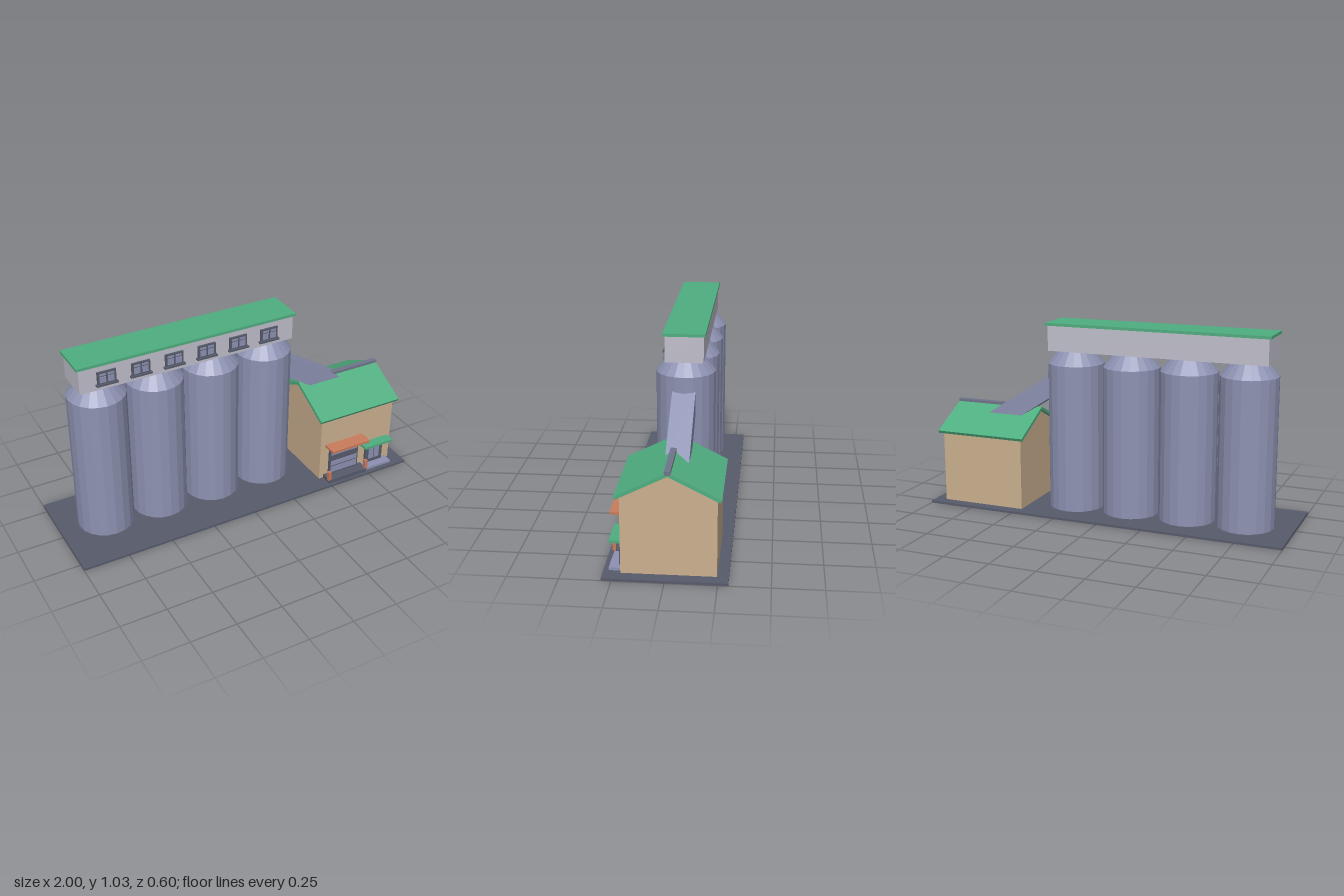
import * as THREE from 'three';

const mat = (name, color, extra = {}) => {
  const m = new THREE.MeshStandardMaterial({ color, ...extra });
  m.name = name;
  return m;
};

export function createModel() {
  const root = new THREE.Group();
  root.name = 'grainElevator';
  const steel = mat('blueGreySteel', 0x8d92b2);
  const dark = mat('darkSlate', 0x575a6b);
  const green = mat('greenRoof', 0x4fae80);
  const tan = mat('tanWall', 0xcbb08f);
  const pale = mat('paleWall', 0xc0bfcb);
  const orange = mat('terracotta', 0xc97c5b);
  const facetSteel = steel;
  facetSteel.flatShading = true;

  const add = (name, geo, material, parent = root) => {
    const mesh = new THREE.Mesh(geo, material);
    mesh.name = name;
    parent.add(mesh);
    return mesh;
  };
  // Box given by its limits on each axis
  const box = (name, material, [x0, x1], [y0, y1], [z0, z1], parent) => {
    const mesh = add(name, new THREE.BoxGeometry(x1 - x0, y1 - y0, z1 - z0), material, parent);
    mesh.position.set((x0 + x1) / 2, (y0 + y1) / 2, (z0 + z1) / 2);
    return mesh;
  };
  const extrude = (points, depth) => new THREE.ExtrudeGeometry(
    new THREE.Shape(points.map(([x, y]) => new THREE.Vector2(x, y))), { depth, bevelEnabled: false });

  box('groundSlab', dark, [-1, 1], [0, 0.012], [-0.3, 0.3]);

  // Row of four silos with tapered tops
  const siloZ = -0.035;
  for (let i = 0; i < 4; i++) {
    const silo = new THREE.Group();
    silo.name = 'silo' + (i + 1);
    silo.position.set(-0.74 + i * 0.32, 0, siloZ);
    root.add(silo);
    add('siloBody', new THREE.CylinderGeometry(0.153, 0.153, 0.8, 20), steel, silo).position.y = 0.41;
    add('siloCone', new THREE.CylinderGeometry(0.095, 0.153, 0.07, 20, 1), steel, silo).position.y = 0.845;
  }

  // Gallery above the silos
  box('galleryWalls', pale, [-0.86, 0.343], [0.88, 1.016], [-0.133, 0.063]);
  box('galleryRoof', green, [-0.872, 0.355], [1.016, 1.031], [-0.142, 0.074]);
  for (let i = 0; i < 6; i++) {
    const win = new THREE.Group();
    win.name = 'galleryWindow' + (i + 1);
    win.position.x = -0.717 + i * 0.1828;
    root.add(win);
    box('windowFrame', dark, [-0.05, 0.05], [0.912, 0.982], [0.06, 0.073], win);
    box('windowSill', dark, [-0.058, 0.058], [0.906, 0.915], [0.06, 0.082], win);
    for (const s of [-1, 1]) {
      box('windowPane', steel, [s * 0.022 - 0.017, s * 0.022 + 0.017], [0.922, 0.956], [0.07, 0.075], win);
      box('windowTransom', steel, [s * 0.022 - 0.017, s * 0.022 + 0.017], [0.961, 0.973], [0.07, 0.075], win);
    }
  }

  // Gabled house, profile drawn across z and swept along x
  const acrossX = (name, points, x0, x1, material) => {
    const mesh = add(name, extrude(points.map(([z, y]) => [-z, y]), x1 - x0), material);
    mesh.rotation.y = Math.PI / 2;
    mesh.position.x = x0;
    return mesh;
  };
  const ridgeZ = -0.013;
  acrossX('houseWalls', [[0.215, 0.01], [-0.244, 0.01], [-0.244, 0.409], [ridgeZ, 0.524], [0.215, 0.409]],
    0.463, 0.937, tan);
  for (const s of [-1, 1]) {
    acrossX(s > 0 ? 'frontRoofSlope' : 'backRoofSlope', [
      [ridgeZ, 0.54], [ridgeZ + s * 0.252, 0.413], [ridgeZ + s * 0.244, 0.398], [ridgeZ, 0.521],
    ], 0.444, 0.96, green);
  }
  box('ridgeCap', mat('midSlate', 0x70748a), [0.6, 0.962], [0.527, 0.547], [-0.028, 0.002]);

  // Chute from the last silo down into the house roof
  add('grainChute', extrude([[0.33, 0.755], [0.33, 0.63], [0.74, 0.365], [0.74, 0.494]], 0.118),
    steel).position.z = siloZ - 0.059;

  // Loading dock with shutter, awning and posts
  box('loadingDock', dark, [0.49, 0.74], [0.01, 0.034], [0.21, 0.284]);
  box('shutterFrame', dark, [0.52, 0.71], [0.034, 0.206], [0.21, 0.23]);
  for (const [y0, y1] of [[0.045, 0.082], [0.09, 0.12], [0.16, 0.197]]) {
    box('shutterSlat', steel, [0.528, 0.702], [y0, y1], [0.228, 0.233]);
  }
  box('dockAwning', orange, [0.495, 0.74], [0.22, 0.234], [0.21, 0.294]);
  for (const x of [0.493, 0.738]) {
    box('dockPost', orange, [x - 0.009, x + 0.009], [0.03, 0.086], [0.264, 0.282]);
  }

  // Entrance with step, double door and small canopy
  box('entranceStep', steel, [0.74, 0.915], [0.01, 0.026], [0.21, 0.274]);
  box('doorFrame', dark, [0.766, 0.882], [0.026, 0.156], [0.21, 0.228]);
  for (const x of [0.805, 0.843]) {
    box('doorPanel', steel, [x - 0.016, x + 0.016], [0.05, 0.138], [0.226, 0.231]);
  }
  box('entranceCanopy', green, [0.732, 0.918], [0.156, 0.17], [0.21, 0.272]);
  return root;
}
